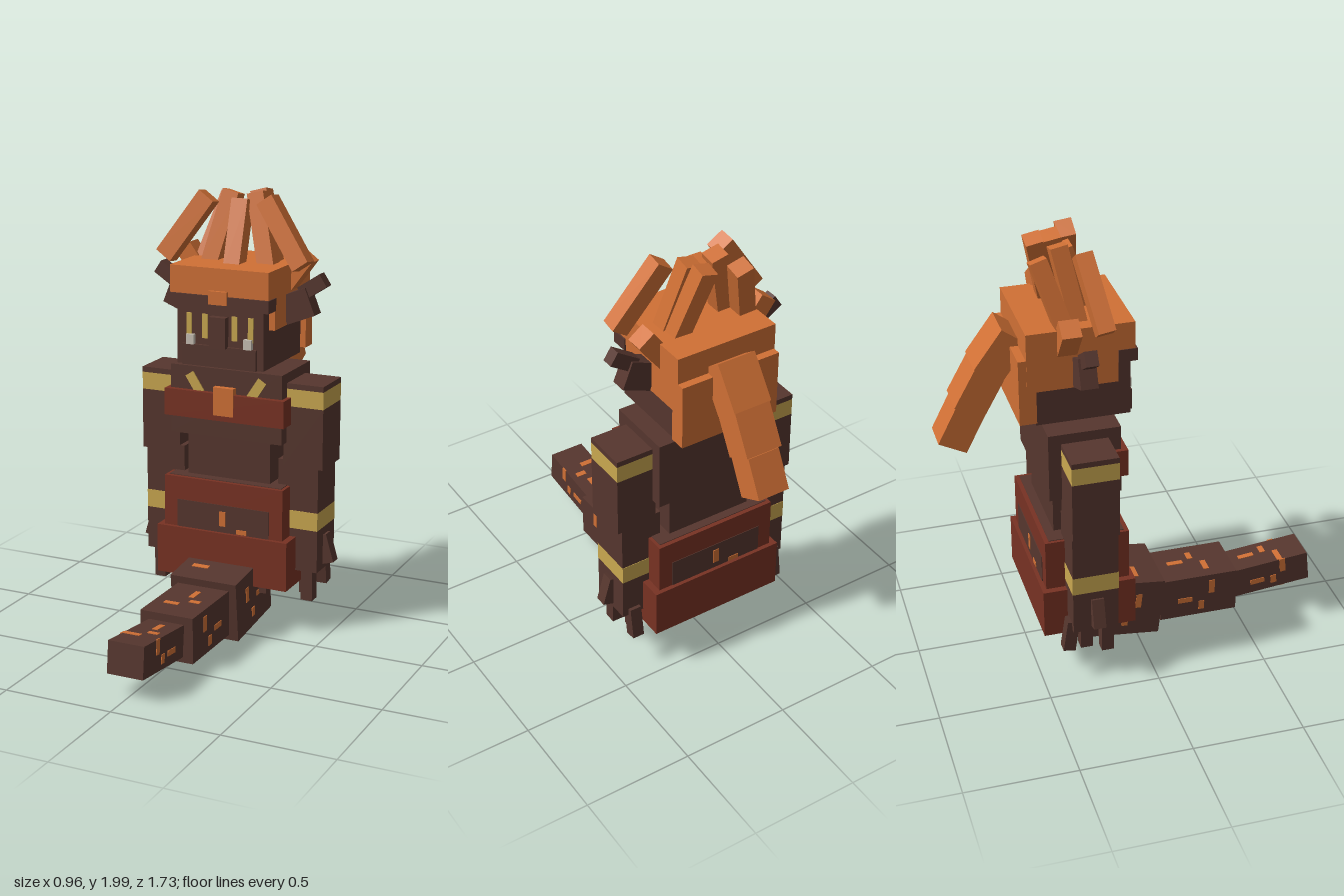
import * as THREE from 'three';

const mat = (name, color) => {
  const m = new THREE.MeshStandardMaterial({ color });
  m.name = name;
  return m;
};

export function createModel() {
  const brown = mat('dark brown', 0x56362e);
  const red = mat('rust red', 0x783223);
  const orange = mat('orange', 0xd07035);
  const yellow = mat('ochre yellow', 0xcaa850);
  const white = mat('pale grey', 0xc8c0b4);

  const model = new THREE.Group();
  model.name = 'creature';

  const group = (name, parent = model) => {
    const g = new THREE.Group();
    g.name = name;
    parent.add(g);
    return g;
  };
  // Box by centre and size
  const block = (name, m, w, h, d, x, y, z, parent = model) => {
    const mesh = new THREE.Mesh(new THREE.BoxGeometry(w, h, d), m);
    mesh.name = name;
    mesh.position.set(x, y, z);
    parent.add(mesh);
    return mesh;
  };
  // Box by its limits
  const span = (name, m, x0, x1, y0, y1, z0, z1, parent = model) =>
    block(name, m, x1 - x0, y1 - y0, z1 - z0, (x0 + x1) / 2, (y0 + y1) / 2, (z0 + z1) / 2, parent);
  // Box whose long axis runs from a to b
  const beam = (name, m, a, b, w, d, parent = model) => {
    const p = new THREE.Vector3(...a), q = new THREE.Vector3(...b);
    const dir = q.clone().sub(p);
    const mid = p.clone().add(q).multiplyScalar(0.5);
    const mesh = block(name, m, w, dir.length(), d, mid.x, mid.y, mid.z, parent);
    mesh.quaternion.setFromUnitVectors(new THREE.Vector3(0, 1, 0), dir.normalize());
    return mesh;
  };

  // Torso
  const torso = group('torso');
  span('hips', brown, -0.2, 0.2, 0.17, 0.23, -0.42, -0.12, torso);
  span('waist', brown, -0.205, 0.205, 0.6, 0.9, -0.4, -0.145, torso);
  span('chest', brown, -0.275, 0.275, 0.89, 1.21, -0.43, -0.11, torso);
  span('neck', brown, -0.105, 0.105, 1.2, 1.24, -0.36, -0.18, torso);
  span('chestBand', red, -0.295, 0.295, 0.975, 1.1, -0.17, -0.083, torso);
  span('chestBuckle', orange, -0.05, 0.05, 1.0, 1.13, -0.11, -0.08, torso);
  for (const s of [-1, 1])
    beam('fangMark', yellow, [s * 0.18, 1.175, -0.108], [s * 0.125, 1.09, -0.108], 0.045, 0.008, torso);

  // Skirt with framed panels
  const skirt = group('skirt');
  span('lowerSkirt', red, -0.325, 0.325, 0.22, 0.45, -0.48, -0.06, skirt);
  span('upperSkirt', red, -0.295, 0.295, 0.45, 0.688, -0.46, -0.08, skirt);
  span('skirtLining', brown, -0.28, 0.28, 0.686, 0.691, -0.44, -0.1, skirt);
  for (const [z, s] of [[-0.08, 1], [-0.46, -1]]) {
    block('skirtPanel', brown, 0.46, 0.13, 0.006, 0, 0.515, z, skirt);
    block('panelSpot', orange, 0.03, 0.07, 0.008, 0, 0.515, z + s * 0.002, skirt);
    block('panelSpot', orange, 0.05, 0.022, 0.008, s * 0.095, 0.463, z + s * 0.002, skirt);
  }

  // Arms and claws
  for (const s of [-1, 1]) {
    const arm = group(s > 0 ? 'leftArm' : 'rightArm');
    const x = s * 0.355, lx = s * 0.333;
    block('upperArm', brown, 0.19, 0.28, 0.208, x, 0.92, -0.27, arm);
    block('shoulderBand', yellow, 0.19, 0.08, 0.208, x, 1.1, -0.27, arm);
    block('shoulderTop', brown, 0.19, 0.025, 0.208, x, 1.1525, -0.27, arm);
    block('forearm', brown, 0.194, 0.235, 0.205, lx, 0.6925, -0.27, arm);
    block('wristBand', yellow, 0.194, 0.085, 0.209, lx, 0.5325, -0.27, arm);
    block('hand', brown, 0.194, 0.2, 0.205, lx, 0.39, -0.27, arm);
    block('finger', brown, 0.055, 0.16, 0.055, s * 0.375, 0.225, -0.21, arm);
    block('finger', brown, 0.055, 0.16, 0.055, s * 0.33, 0.225, -0.295, arm);
    block('finger', brown, 0.055, 0.15, 0.055, s * 0.375, 0.25, -0.375, arm).rotation.x = 0.15;
    block('thumb', brown, 0.055, 0.135, 0.055, s * 0.437, 0.385, -0.265, arm).rotation.z = s * 0.28;
  }

  // Head and face
  const head = group('head');
  span('skull', brown, -0.21, 0.21, 1.235, 1.52, -0.465, -0.05, head);
  span('jaw', brown, -0.18, 0.18, 1.235, 1.33, -0.06, -0.035, head);
  span('nose', brown, -0.04, 0.04, 1.325, 1.465, -0.06, -0.015, head);
  span('brow', brown, -0.243, 0.243, 1.5, 1.557, -0.11, -0.027, head);
  span('browGem', orange, -0.045, 0.045, 1.52, 1.58, -0.06, -0.02, head);
  for (const s of [-1, 1]) {
    for (const x of [0.072, 0.15]) block('eyeStripe', yellow, 0.026, 0.11, 0.008, s * x, 1.415, -0.048, head);
    block('eyeTooth', white, 0.038, 0.045, 0.036, s * 0.14, 1.352, -0.048, head);
    block('ear', brown, 0.14, 0.13, 0.075, s * 0.285, 1.5, -0.27, head).rotation.z = s * 0.38;
    block('earTip', brown, 0.125, 0.065, 0.055, s * 0.355, 1.59, -0.27, head).rotation.z = s * 0.58;
  }

  // Hair cap
  const hair = group('hair');
  span('hairCap', orange, -0.24, 0.237, 1.555, 1.68, -0.505, -0.037, hair);
  span('hairSides', orange, -0.24, 0.237, 1.41, 1.555, -0.505, -0.11, hair);
  span('hairBack', orange, -0.237, 0.237, 1.26, 1.56, -0.54, -0.465, hair);

  // Upright locks
  beam('frontLock', orange, [0, 1.64, -0.19], [0, 1.95, -0.285], 0.078, 0.075, hair);
  for (const s of [-1, 1]) {
    beam('outerLock', orange, [s * 0.335, 1.69, -0.19], [s * 0.142, 1.965, -0.235], 0.085, 0.075, hair);
    beam('innerLock', orange, [s * 0.14, 1.66, -0.26], [s * 0.06, 1.98, -0.32], 0.08, 0.075, hair);
    beam('sideLock', orange, [s * 0.2, 1.58, -0.33], [s * 0.3, 1.715, -0.33], 0.085, 0.085, hair);
  }
  beam('backLock', orange, [-0.2, 1.66, -0.33], [-0.115, 1.95, -0.42], 0.08, 0.075, hair);
  beam('backLock', orange, [0.13, 1.66, -0.33], [0.04, 1.98, -0.4], 0.08, 0.075, hair);

  // Ponytail
  const pony = [
    [[0, 1.6, -0.515], [0, 1.43, -0.64], 0.18, 0.14],
    [[0, 1.435, -0.63], [0, 1.265, -0.725], 0.17, 0.14],
    [[0, 1.26, -0.72], [0, 1.1, -0.802], 0.15, 0.135],
  ];
  for (const [a, b, w, d] of pony) beam('ponytailSegment', orange, a, b, w, d, hair);

  // Tail: [width, height, length, y, z, tilt, side spots, top spots]; spot = [across, along, width, length]
  const tail = group('tail');
  const segments = [
    [0.325, 0.28, 0.37, 0.17, -0.07, 0.11,
      [[0.04, 0.07, 0.07, 0.028], [-0.07, 0.015, 0.042, 0.028], [0, -0.065, 0.025, 0.07]],
      [[-0.07, 0.06, 0.08, 0.028]]],
    [0.254, 0.21, 0.37, 0.15, 0.305, 0,
      [[0.04, 0.065, 0.07, 0.028], [-0.055, 0.015, 0.045, 0.028], [-0.015, -0.065, 0.025, 0.07]],
      [[0.01, -0.075, 0.026, 0.075], [0.05, 0.005, 0.05, 0.026], [-0.04, 0.055, 0.07, 0.026]]],
    [0.17, 0.145, 0.37, 0.167, 0.68, -0.105,
      [[0.04, 0.06, 0.07, 0.028], [-0.025, 0.01, 0.042, 0.028], [-0.015, -0.07, 0.025, 0.07]],
      [[0.01, -0.09, 0.026, 0.075], [0.03, -0.005, 0.05, 0.026], [-0.043, 0.05, 0.08, 0.026]]],
  ];
  for (const [w, h, l, y, z, tilt, sides, tops] of segments) {
    const seg = group('tailSegment', tail);
    seg.position.set(0, y, z);
    seg.rotation.x = tilt;
    block('tailBlock', brown, w, h, l, 0, 0, 0, seg);
    for (const s of [-1, 1]) {
      for (const [a, b, sw, sl] of sides) block('tailSpot', orange, 0.006, sw, sl, s * w / 2, a, b, seg);
      for (const [a, b, sw, sl] of tops) block('tailSpot', orange, sw, 0.006, sl, a, s * h / 2, b, seg);
    }
  }
  return model;
}
